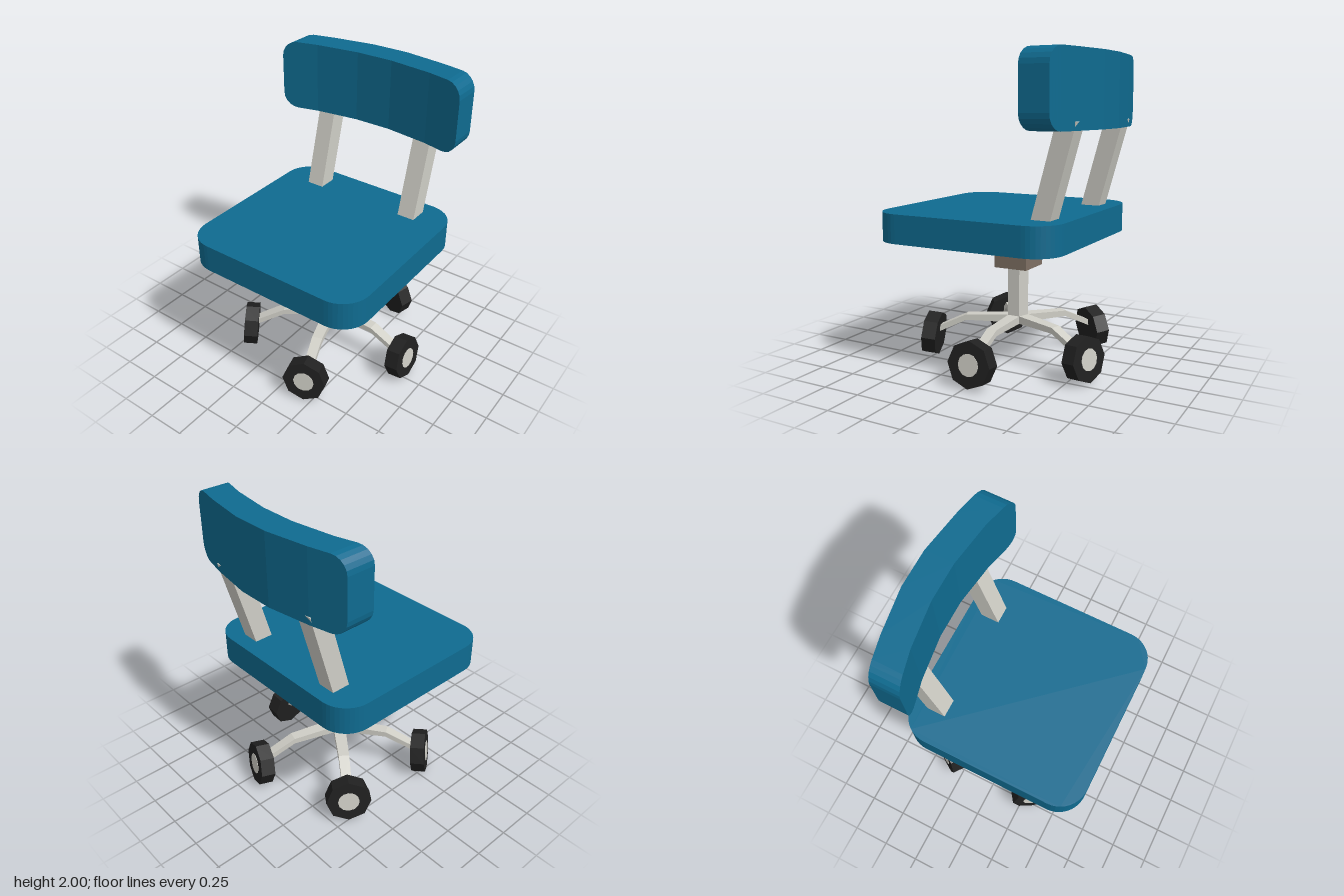
import * as THREE from 'three';

const mat = (name, color) => {
  const m = new THREE.MeshStandardMaterial({ color });
  m.name = name;
  return m;
};

function add(parent, name, geometry, material, x = 0, y = 0, z = 0) {
  const mesh = new THREE.Mesh(geometry, material);
  mesh.name = name;
  mesh.position.set(x, y, z);
  parent.add(mesh);
  return mesh;
}

// Skins four-cornered cross-sections that follow one another along +z, with flat faces
function loft(sections) {
  const pos = [];
  const quad = (a, b, c, d) => [a, b, c, a, c, d].forEach((p) => pos.push(...p));
  for (let i = 0; i < sections.length - 1; i++) {
    const s = sections[i], t = sections[i + 1];
    for (let j = 0; j < 4; j++) {
      const k = (j + 1) % 4;
      quad(s[j], s[k], t[k], t[j]);
    }
  }
  quad(...[...sections[0]].reverse());
  quad(...sections[sections.length - 1]);
  const g = new THREE.BufferGeometry();
  g.setAttribute('position', new THREE.Float32BufferAttribute(pos, 3));
  g.computeVertexNormals();
  return g;
}

const section = (x0, x1, y0, y1, z) => [[x0, y0, z], [x1, y0, z], [x1, y1, z], [x0, y1, z]];

// Cushion slab with rounded corners
function seatGeometry() {
  const w = 0.62, d = 0.635, r = 0.185;
  const s = new THREE.Shape();
  s.absarc(w - r, d - r, r, 0, Math.PI / 2);
  s.absarc(-w + r, d - r, r, Math.PI / 2, Math.PI);
  s.absarc(-w + r, -d + r, r, Math.PI, Math.PI * 1.5);
  s.absarc(w - r, -d + r, r, Math.PI * 1.5, Math.PI * 2);
  return new THREE.ExtrudeGeometry(s, { depth: 0.185, bevelEnabled: false, curveSegments: 5 })
    .rotateX(-Math.PI / 2);
}

// Curved back: thickness bends with z, ends have rounded corners
function backrestGeometry() {
  const bend = (z, pts) => {
    const i = z <= pts[1][0] ? 0 : z <= pts[2][0] ? 1 : 2;
    const [z0, x0] = pts[i], [z1, x1] = pts[i + 1];
    return x0 + (x1 - x0) * (z - z0) / (z1 - z0);
  };
  const inner = [[0, 0.48], [0.125, 0.48], [0.41, 0.442], [0.655, 0.38]];
  const outer = [[0, 0.665], [0.125, 0.665], [0.42, 0.62], [0.655, 0.567]];
  const r = 0.1, half = [[0.125, 0], [0.415, 0]];
  for (let i = 0; i <= 5; i++) {
    const a = (i / 5) * Math.PI / 2;
    half.push([0.555 + r * Math.sin(a), r * (1 - Math.cos(a))]);
  }
  const stations = [...half.map(([z, inset]) => [-z, inset]).reverse(), ...half];
  return loft(stations.map(([z, inset]) => section(
    bend(Math.abs(z), inner), bend(Math.abs(z), outer), 1.54 + inset, 2 - inset, z)));
}

export function createModel() {
  const blue = mat('blue upholstery', 0x0f6b90);
  const metal = mat('light metal', 0xcfcec6);
  const brown = mat('brown mount', 0x7f7064);
  const black = mat('black rubber', 0x202020);

  const chair = new THREE.Group();
  chair.name = 'officeChair';

  // Seat and backrest
  add(chair, 'seat', seatGeometry(), blue, -0.05, 0.838, 0);
  add(chair, 'backrest', backrestGeometry(), blue);

  // Leaning posts between seat and backrest
  for (const side of [-1, 1]) {
    const post = add(chair, side > 0 ? 'leftBackPost' : 'rightBackPost',
      new THREE.BoxGeometry(0.12, 0.733, 0.12), metal, 0.4695, 1.253, side * 0.37);
    post.rotation.z = -0.27;
  }

  // Mount under the seat and five-sided column, one side facing each leg
  add(chair, 'seatMount', new THREE.BoxGeometry(0.232, 0.204, 0.23), brown, 0.035, 0.737, 0);
  const base = new THREE.Group();
  base.name = 'base';
  base.position.set(0.034, 0, 0.008);
  chair.add(base);
  const column = new THREE.CylinderGeometry(0.07, 0.07, 0.378, 5, 1, false, Math.PI / 5).toNonIndexed();
  column.computeVertexNormals();
  add(base, 'column', column, metal, 0, 0.451, 0);

  // Bent leg, octagonal wheel and hub disc, repeated around the column
  const legGeometry = loft([
    section(-0.041, 0.041, 0.262, 0.312, 0.055),
    section(-0.035, 0.035, 0.26, 0.298, 0.342),
    section(-0.031, 0.031, 0.165, 0.205, 0.54),
  ]);
  const wheelGeometry = new THREE.CylinderGeometry(0.146, 0.146, 0.094, 8).toNonIndexed();
  wheelGeometry.computeVertexNormals();
  wheelGeometry.rotateX(Math.PI / 2);
  const hubGeometry = new THREE.CylinderGeometry(0.07, 0.07, 0.004, 12).rotateX(Math.PI / 2);
  for (let i = 0; i < 5; i++) {
    const spoke = new THREE.Group();
    spoke.name = 'spoke' + (i + 1);
    spoke.rotation.y = (i / 5) * Math.PI * 2;
    base.add(spoke);
    add(spoke, 'leg', legGeometry, metal);
    const wheel = add(spoke, 'wheel', wheelGeometry, black, 0, 0.151, 0.577);
    wheel.rotation.x = -0.095;
    add(wheel, 'wheelHub', hubGeometry, metal, 0, 0, 0.048);
  }
  return chair;
}
